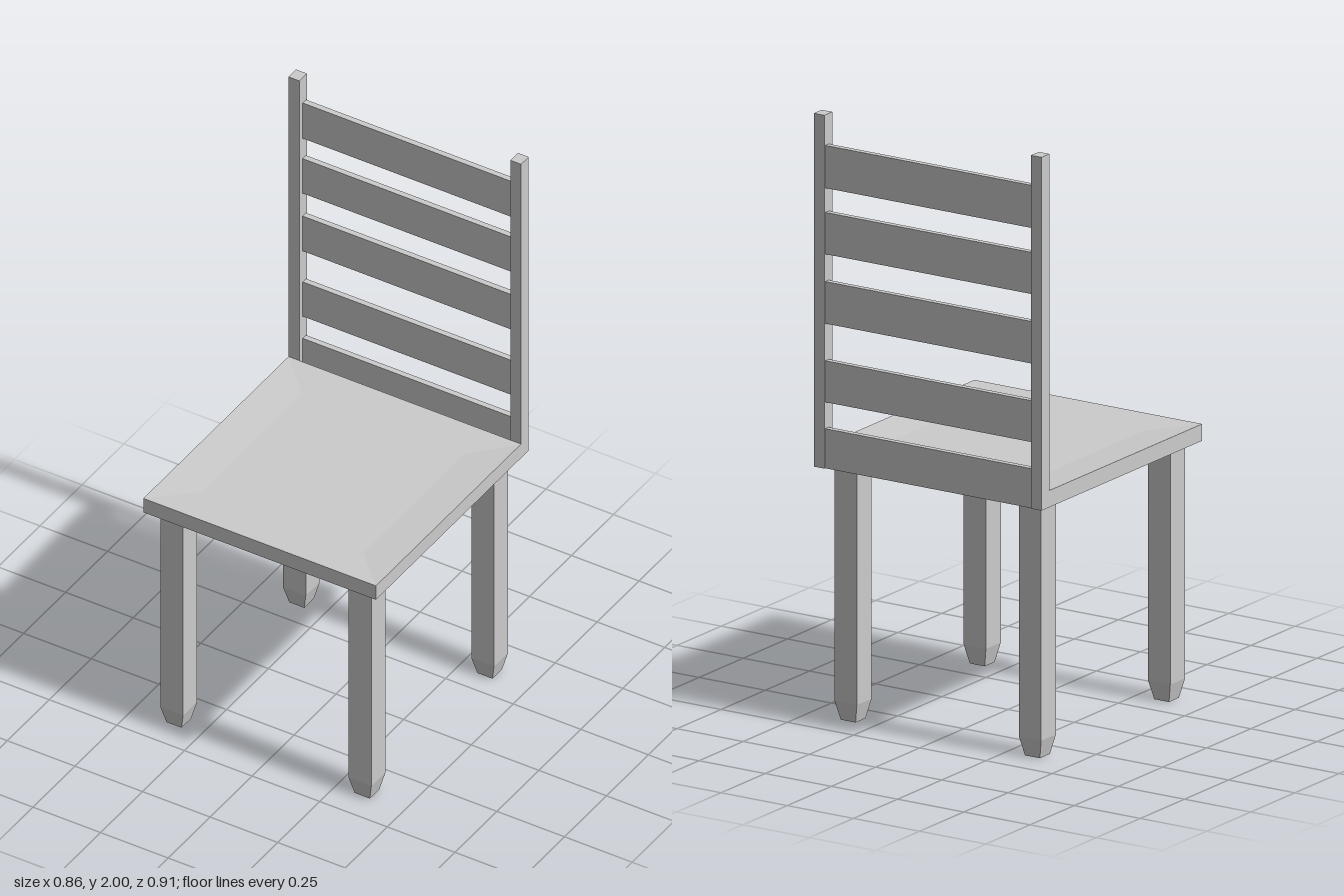
import * as THREE from 'three';

const material = new THREE.MeshStandardMaterial({ color: 0xcccccc, flatShading: true });

// Closed solid through rectangular rings [x0, x1, z0, z1, y], listed from the bottom up
function loftRects(rings) {
  const positions = [];
  const corners = rings.map(([x0, x1, z0, z1, y]) => [[x0, y, z1], [x1, y, z1], [x1, y, z0], [x0, y, z0]]);
  const quad = (a, b, c, d) => positions.push(...a, ...b, ...c, ...a, ...c, ...d);
  for (let i = 0; i < corners.length - 1; i++) {
    const low = corners[i], high = corners[i + 1];
    for (let j = 0; j < 4; j++) {
      const k = (j + 1) % 4;
      quad(low[j], low[k], high[k], high[j]);
    }
  }
  const [a, b, c, d] = corners[0];
  quad(a, d, c, b);
  quad(...corners[corners.length - 1]);
  const geometry = new THREE.BufferGeometry();
  geometry.setAttribute('position', new THREE.Float32BufferAttribute(positions, 3));
  geometry.computeVertexNormals();
  return geometry;
}

export function createModel() {
  const chair = new THREE.Group();
  chair.name = 'chair';

  function add(name, geometry, x = 0, y = 0, z = 0) {
    const mesh = new THREE.Mesh(geometry, material);
    mesh.name = name;
    mesh.position.set(x, y, z);
    chair.add(mesh);
  }

  // Seat with a shallow dished top
  const seatBottom = 0.84, seatTop = 0.895;
  add('seat', loftRects([
    [-0.43, 0.43, -0.41, 0.455, seatBottom],
    [-0.43, 0.43, -0.41, 0.455, seatTop],
    [-0.3, 0.3, -0.28, 0.32, seatTop - 0.01],
  ]));

  // Square legs with tapered feet
  const leg = loftRects([
    [-0.028, 0.028, -0.028, 0.028, 0],
    [-0.042, 0.042, -0.042, 0.042, 0.063],
    [-0.042, 0.042, -0.042, 0.042, seatBottom],
  ]);
  // Back posts
  const post = new THREE.BoxGeometry(0.04, 2 - seatBottom, 0.045);
  for (const side of [1, -1]) {
    const label = side > 0 ? 'Left' : 'Right';
    add(`front${label}Leg`, leg, side * 0.348, 0, 0.376);
    add(`back${label}Leg`, leg, side * 0.348, 0, -0.355);
    add(`back${label}Post`, post, side * 0.41, (2 + seatBottom) / 2, -0.4325);
  }

  // Back slats, the lowest reaching down to the underside of the seat
  const slats = [[seatBottom, 0.97], [1.057, 1.193], [1.315, 1.453], [1.543, 1.68], [1.76, 1.9]];
  slats.forEach(([low, high], i) => {
    add(`backSlat${i + 1}`, new THREE.BoxGeometry(0.78, high - low, 0.02), 0, (low + high) / 2, -0.44);
  });

  return chair;
}
